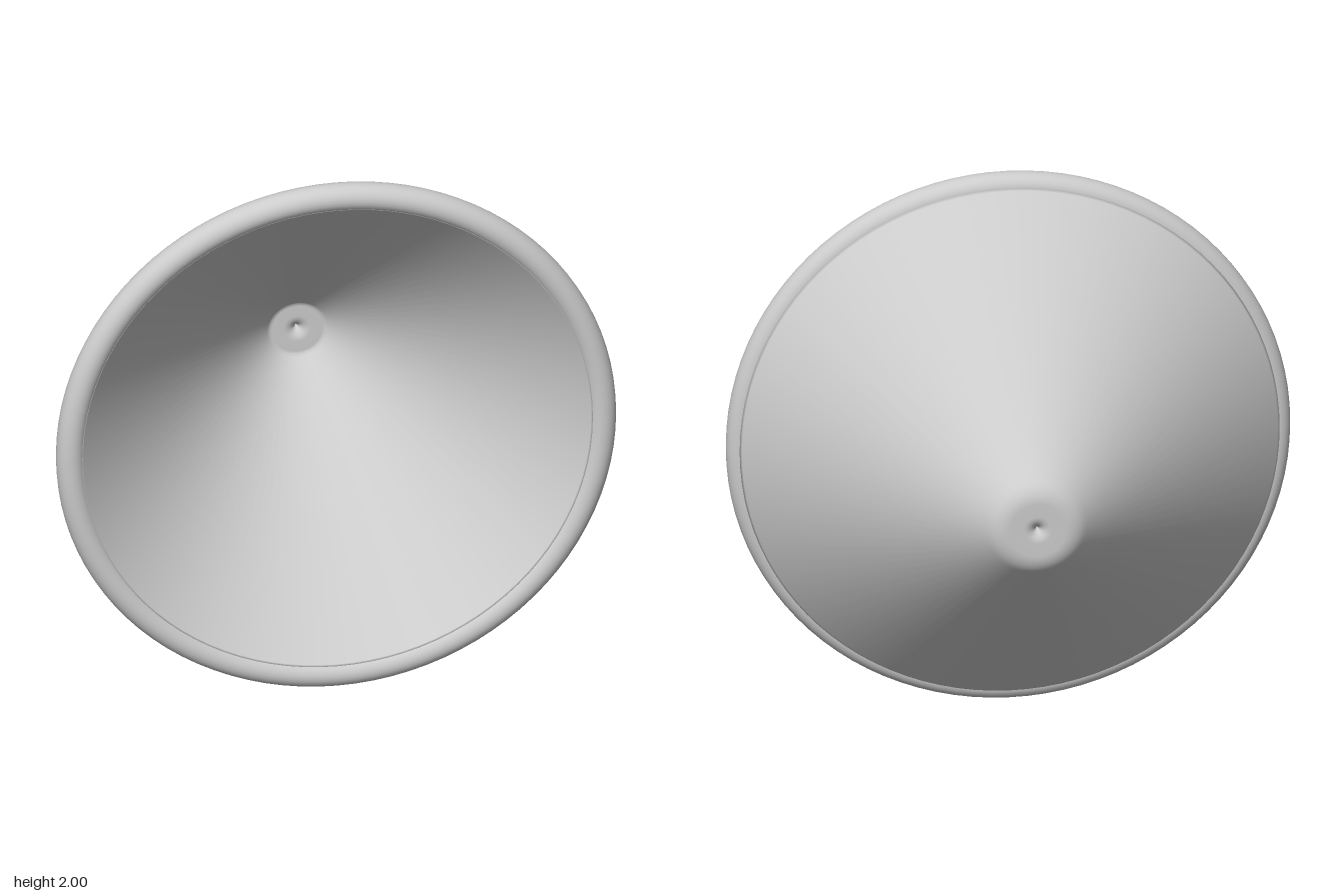
import * as THREE from 'three';

const SEGMENTS = 96;

// Points along an arc in the (radius, axis) plane, angles in degrees
function arc(r, z, radius, from, to, steps) {
  return Array.from({ length: steps + 1 }, (_, i) => {
    const a = THREE.MathUtils.degToRad(from + (to - from) * i / steps);
    return new THREE.Vector2(Math.max(0, r + radius * Math.cos(a)), z + radius * Math.sin(a));
  });
}

// Straight wall with extra points near its ends, so smooth shading stays local
function wall(r0, z0, r1, z1) {
  const a = new THREE.Vector2(r0, z0), b = new THREE.Vector2(r1, z1);
  return [0, 0.01, 0.99, 1].map((t) => a.clone().lerp(b, t));
}

export function createModel() {
  const model = new THREE.Group();
  const material = new THREE.MeshStandardMaterial({ color: 0xcccccc });

  // Everything turns around one axis, which is laid from back to front
  const bowl = new THREE.Group();
  bowl.name = 'bowl';
  bowl.rotation.x = Math.PI / 2;
  bowl.position.y = 1;
  model.add(bowl);

  // Conical shell: dimpled, rounded tip behind, thick wall, flat hub inside
  const profile = [
    ...arc(0.05, -0.42, 0.05, 180, 270, 8),
    ...arc(0.1, -0.37, 0.1, 270, 315, 8),
    ...wall(0.172, -0.44, 0.957, 0.371).slice(1),
    ...wall(0.915, 0.455, 0.1, -0.37),
    new THREE.Vector2(0.09, -0.37),
    ...arc(0.05, -0.42, 0.05, 90, 180, 8),
  ];
  const shell = new THREE.Mesh(new THREE.LatheGeometry(profile, SEGMENTS), material);
  shell.name = 'conicalShell';
  bowl.add(shell);

  // Rounded lip around the open front
  const lip = new THREE.TorusGeometry(0.95, 0.05, 24, SEGMENTS);
  lip.rotateX(Math.PI / 2);
  const rim = new THREE.Mesh(lip, material);
  rim.name = 'rim';
  rim.position.y = 0.42;
  bowl.add(rim);

  return model;
}
